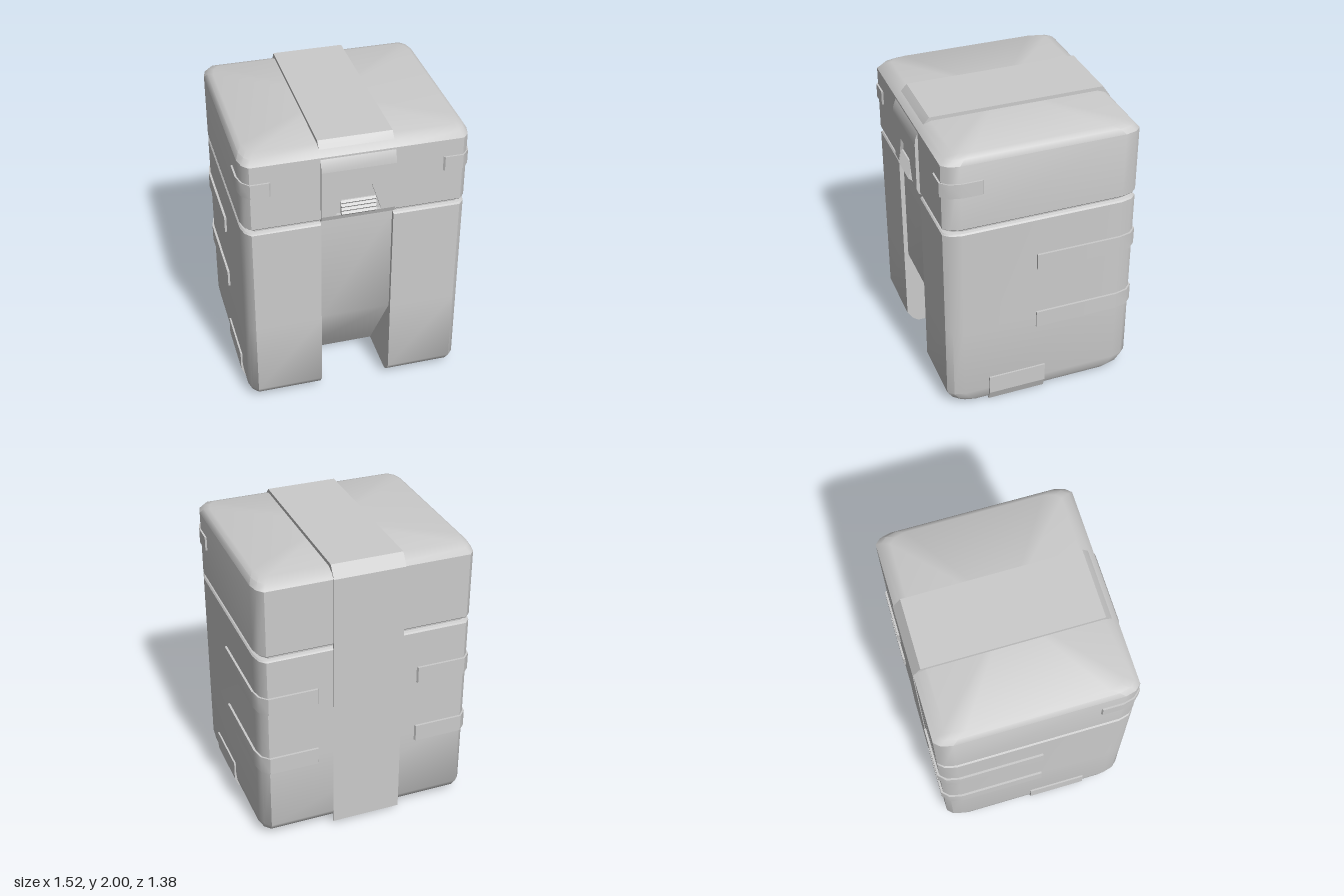
import * as THREE from 'three';
import { toCreasedNormals } from 'three/addons/utils/BufferGeometryUtils.js';

const material = new THREE.MeshStandardMaterial({ color: 0xcccccc, side: THREE.DoubleSide });

function addMesh(parent, name, geometry) {
  const mesh = new THREE.Mesh(geometry, material);
  mesh.name = name;
  parent.add(mesh);
  return mesh;
}

// Horizontal outline with rounded corners and a notch in the front.
function outline(insetX, insetZ, notchZ) {
  const shift = ([x, z]) => [
    Math.abs(x) > 0.5 ? x - Math.sign(x) * insetX : x,
    z - Math.sign(z) * insetZ,
  ];
  const half = [
    [0.24, 0.65], [0.69, 0.65], [0.727, 0.61], [0.745, 0.54],
    [0.745, -0.56], [0.727, -0.635], [0.69, -0.675],
  ].map(shift);
  const front = half[0][1];
  const back = Math.min(notchZ, front);
  const mirrored = half.map(([x, z]) => [-x, z]).reverse();
  return [[0.24, back], ...half, ...mirrored, [-0.24, back]];
}

// Joins the stacked outlines; each ring is [y, insetX, insetZ, notchZ].
function loft(rings, closeTop) {
  const positions = [];
  const index = [];
  let n = 0;
  for (const [y, ix, iz, notch] of rings) {
    const pts = outline(ix, iz, notch);
    n = pts.length;
    pts.forEach(([x, z]) => positions.push(x, y, z));
  }
  for (let r = 0; r < rings.length - 1; r++) {
    for (let j = 0; j < n; j++) {
      const a = r * n + j;
      const b = r * n + ((j + 1) % n);
      index.push(a, b, b + n, a, b + n, a + n);
    }
  }
  if (closeTop) {
    const base = (rings.length - 1) * n;
    positions.push(0, rings[rings.length - 1][0], 0);
    for (let j = 0; j < n; j++) index.push(base + j, base + ((j + 1) % n), base + n);
  }
  const g = new THREE.BufferGeometry();
  g.setAttribute('position', new THREE.Float32BufferAttribute(positions, 3));
  g.setIndex(index);
  return toCreasedNormals(g, 0.62);
}

const toShape = (pts) => new THREE.Shape(pts.map(([a, b]) => new THREE.Vector2(a, b)));
const extrude = (shape, depth) => new THREE.ExtrudeGeometry(shape, { depth, bevelEnabled: false });

// Profile of [z, y] points extruded across x, centred.
function acrossX(pts, width) {
  const g = extrude(toShape(pts.map(([z, y]) => [-z, y])), width);
  g.rotateY(Math.PI / 2);
  g.translate(-width / 2, 0, 0);
  return toCreasedNormals(g, 0.5);
}

// Thin raised band following a path of [x, z] points.
function wrapBand(path, side, y0, y1) {
  const outer = path.map(([x, z]) => [x * side, -z]);
  const inner = outer.map(([x, z]) => [x * 0.978, z * 0.978]).reverse();
  const g = extrude(toShape([...outer, ...inner]), y1 - y0);
  g.rotateX(-Math.PI / 2);
  g.translate(0, y0, 0);
  return toCreasedNormals(g, 0.6);
}

export function createModel() {
  const group = new THREE.Group();
  group.name = 'container';

  // Open-bottomed body whose front channel slopes inward near the floor
  addMesh(group, 'body', loft([
    [0.02, 0.022, 0.08, 0.22],
    [0.05, 0.008, 0.04, 0.24],
    [0.11, 0, 0, 0.278],
    [0.64, 0, 0, 0.62],
    [1.415, 0, 0, 0.62],
    [1.425, 0.008, 0.008, 0.62],
  ], false));

  // Groove between body and lid
  addMesh(group, 'seam', loft([
    [1.425, 0.008, 0.008, 0.62],
    [1.432, 0.025, 0.025, 0.62],
    [1.45, 0.025, 0.025, 0.62],
    [1.456, 0.005, 0.005, 0.62],
  ], false));

  // Lid with a softened top edge
  addMesh(group, 'lid', loft([
    [1.456, 0.005, 0.005, 1],
    [1.463, 0, 0, 1],
    [1.92, 0, 0, 1],
    [1.955, 0.02, 0.035, 1],
    [1.975, 0.05, 0.09, 1],
  ], true));

  // Central strap over the top and down the back
  addMesh(group, 'strap', acrossX([
    [0.672, 1.82], [0.668, 1.86], [0.645, 1.92], [0.57, 2], [-0.625, 2],
    [-0.68, 1.92], [-0.68, 0.02], [-0.668, 0.02], [-0.668, 1.9],
    [-0.6, 1.965], [0.55, 1.965], [0.63, 1.9], [0.65, 1.82],
  ], 0.485));

  // Front plate of the strap with the latch recess
  const plate = toShape([[-0.2425, 1.49], [0.2425, 1.49], [0.2425, 1.82], [-0.2425, 1.82]]);
  plate.holes.push(new THREE.Path(
    [[-0.15, 1.492], [-0.085, 1.69], [0.085, 1.69], [0.15, 1.492]].map(([x, y]) => new THREE.Vector2(x, y))
  ));
  const plateMesh = addMesh(group, 'latchPlate', extrude(plate, 0.022));
  plateMesh.position.z = 0.65;
  addMesh(group, 'strapLip', acrossX(
    [[0.672, 1.49], [0.66, 1.455], [0.62, 1.43], [0.62, 1.49]], 0.485));

  // Latch: stepped grip ribs, deepest near the bottom
  const latch = new THREE.Group();
  latch.name = 'latch';
  group.add(latch);
  for (let i = 0; i < 4; i++) {
    const y = 1.503 + i * 0.025;
    const tip = 0.69 - i * 0.006;
    addMesh(latch, 'latchRib', acrossX([
      [0.648, y - 0.013], [tip - 0.012, y - 0.013], [tip, y], [tip - 0.012, y + 0.012], [0.648, y + 0.012],
    ], 0.23));
  }

  // Raised bands and foot patches, mirrored on both sides
  const rearPath = [[0.76, 0.03], [0.76, -0.55], [0.74, -0.64], [0.69, -0.69], [0.355, -0.69]];
  const lidPath = [[0.757, 0.4], [0.757, 0.53], [0.738, 0.61], [0.69, 0.662], [0.57, 0.662]];
  for (const side of [1, -1]) {
    const prefix = side > 0 ? 'left' : 'right';
    addMesh(group, prefix + 'UpperBand', wrapBand(rearPath, side, 1.03, 1.15));
    addMesh(group, prefix + 'LowerBand', wrapBand(rearPath, side, 0.56, 0.68));
    addMesh(group, prefix + 'LidBand', wrapBand(lidPath, side, 1.7, 1.8));
    const foot = extrude(toShape([
      [0.742, 0.205], [0.757, 0.205], [0.757, 0.07], [0.73, 0], [0.718, 0.005], [0.742, 0.075],
    ].map(([x, y]) => [x * side, y])), 0.405);
    foot.translate(0, 0, -0.04);
    addMesh(group, prefix + 'FootPatch', foot);
  }
  return group;
}
